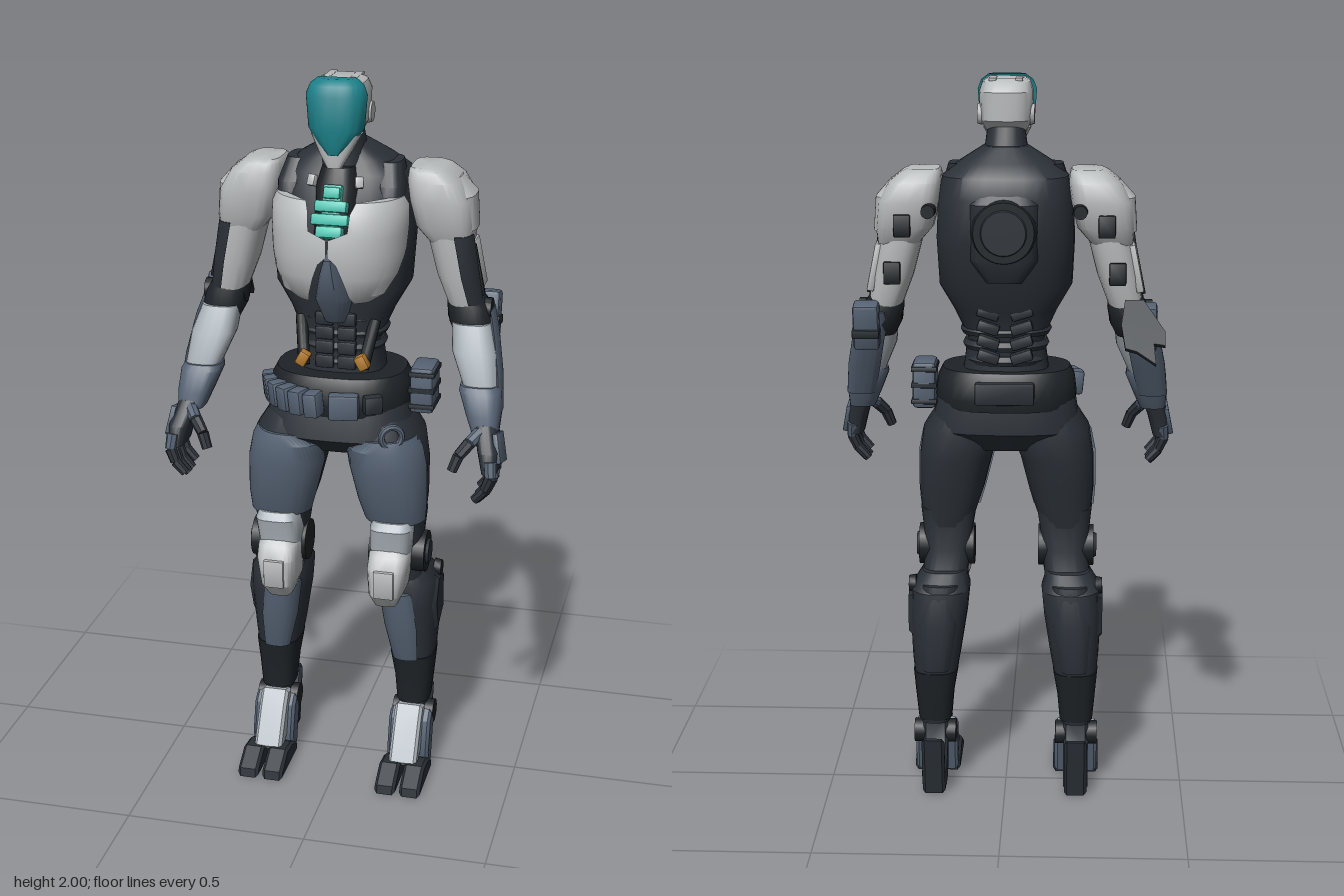
import * as THREE from 'three';
import { toCreasedNormals } from 'three/addons/utils/BufferGeometryUtils.js';
import { RoundedBoxGeometry } from 'three/addons/geometries/RoundedBoxGeometry.js';

const mat = (name, color) => Object.assign(new THREE.MeshStandardMaterial({ color }), { name });

// Solid through horizontal rings [y, cx, cz, rx, rz, a0, a1]; angle 0 faces +z and grows towards +x.
// Rings with a0 and a1 are arcs closed by a chord, which makes curved armour plates.
function loft(rings, power = 2.5, n = 24) {
  const arc = rings[0].length > 5, pos = [], idx = [];
  const e = 2 / power, pw = v => Math.sign(v) * Math.abs(v) ** e;
  rings.forEach(([y, cx, cz, rx, rz, a0 = 0, a1 = Math.PI * 2]) => {
    for (let i = 0; i < n; i++) {
      const a = a0 + (a1 - a0) * i / (arc ? n - 1 : n);
      pos.push(cx + rx * pw(Math.sin(a)), y, cz + rz * pw(Math.cos(a)));
    }
  });
  for (let r = 0; r < rings.length - 1; r++) for (let i = 0; i < n; i++) {
    const a = r * n + i, b = r * n + (i + 1) % n;
    idx.push(a, b, b + n, a, b + n, a + n);
  }
  [0, rings.length - 1].forEach((r, top) => {
    const c = pos.length / 3, m = [0, 0, 0];
    for (let i = 0; i < n; i++) for (let k = 0; k < 3; k++) m[k] += pos[(r * n + i) * 3 + k] / n;
    pos.push(...m);
    for (let i = 0; i < n; i++) {
      const a = r * n + i, b = r * n + (i + 1) % n;
      idx.push(...(top ? [c, a, b] : [c, b, a]));
    }
  });
  const g = new THREE.BufferGeometry();
  g.setAttribute('position', new THREE.Float32BufferAttribute(pos, 3));
  g.setIndex(idx);
  return g;
}

// Side outline of [z, y] points extruded from x0 to x1 with a small bevel
function profile(pts, x0, x1, bevel = 0.008) {
  const g = new THREE.ExtrudeGeometry(new THREE.Shape(pts.map(p => new THREE.Vector2(...p))),
    { depth: x1 - x0 - 2 * bevel, bevelSize: bevel, bevelThickness: bevel, bevelOffset: -bevel, bevelSegments: 1 });
  return g.rotateY(-Math.PI / 2).translate(x1 - bevel, 0, 0);
}

const box = (w, h, d, x, y, z, rx = 0, ry = 0, rz = 0) =>
  new RoundedBoxGeometry(w, h, d, 1, Math.min(w, h, d) * 0.18).rotateX(rx).rotateY(ry).rotateZ(rz).translate(x, y, z);

// Tapered rod from a to b
function rod(a, b, r1, r2 = r1, n = 12) {
  const A = new THREE.Vector3(...a), d = new THREE.Vector3(...b).sub(A), len = d.length();
  return new THREE.CylinderGeometry(r2, r1, len, n).translate(0, len / 2, 0)
    .applyQuaternion(new THREE.Quaternion().setFromUnitVectors(new THREE.Vector3(0, 1, 0), d.normalize()))
    .translate(...a);
}

function mirrored(g) {
  const m = g.clone();
  for (const key of ['position', 'normal']) {
    const s = g.attributes[key], t = m.attributes[key];
    for (let i = 0; i < s.count; i++) {
      const j = i % 3 === 1 ? i + 1 : i % 3 === 2 ? i - 1 : i;
      t.setXYZ(i, -s.getX(j), s.getY(j), s.getZ(j));
    }
  }
  return m;
}

export function createModel() {
  const root = new THREE.Group();
  const light = mat('light armour', 0xb9bcbd), steel = mat('pale steel', 0xa9b1b7), slate = mat('slate blue', 0x566374);
  const dark = mat('charcoal', 0x2b3138), black = mat('black', 0x1e2327), teal = mat('visor teal', 0x1c8089);
  const glow = mat('bright teal', 0x48c4b0), amber = mat('amber', 0xb47a2c);

  const add = (name, geo, m) => {
    const mesh = new THREE.Mesh(toCreasedNormals(geo, 0.6), m);
    mesh.name = name;
    root.add(mesh);
    return mesh;
  };
  const pair = (name, geo, m) => {
    const left = add(name + 'Left', geo, m);
    const right = new THREE.Mesh(mirrored(left.geometry), m);
    right.name = name + 'Right';
    root.add(right);
  };

  // Head
  add('helmet', loft([[1.845, 0, 0.07, 0.05, 0.07], [1.885, 0, 0.05, 0.07, 0.096],
    [1.96, 0, 0.05, 0.073, 0.098], [1.985, 0, 0.055, 0.064, 0.085], [1.995, 0, 0.06, 0.048, 0.065]], 3), light);
  add('jaw', loft([[1.775, 0, 0.125, 0.02, 0.018], [1.81, 0, 0.118, 0.04, 0.028], [1.86, 0, 0.1, 0.066, 0.045]], 3), light);
  add('visor', loft([[1.81, 0, 0.105, 0.022, 0.045, -1.1, 1.1], [1.835, 0, 0.095, 0.047, 0.06, -1.3, 1.3], [1.875, 0, 0.09, 0.074, 0.068, -1.45, 1.45],
    [1.96, 0, 0.09, 0.08, 0.07, -1.5, 1.5], [1.985, 0, 0.088, 0.07, 0.06, -1.5, 1.5], [2.0, 0, 0.085, 0.05, 0.04, -1.5, 1.5]], 2.6), teal);
  pair('earDisc', rod([0.064, 1.9, 0.02], [0.076, 1.9, 0.02], 0.03, 0.026, 16), light);
  pair('crownPlate', box(0.02, 0.008, 0.08, 0.035, 1.992, 0.025), light);
  add('neck', loft([[1.7, 0, 0.01, 0.085, 0.095], [1.78, 0, 0.015, 0.062, 0.075], [1.87, 0, 0.03, 0.05, 0.06]]), dark);

  // Torso
  add('torso', loft([[1.19, 0, 0.03, 0.12, 0.09], [1.3, 0, 0.03, 0.105, 0.085], [1.38, 0, 0.015, 0.14, 0.105],
    [1.45, 0, 0.01, 0.18, 0.13], [1.58, 0, -0.005, 0.186, 0.15], [1.69, 0, -0.02, 0.18, 0.14],
    [1.745, 0, -0.025, 0.168, 0.118], [1.78, 0, -0.015, 0.125, 0.09], [1.82, 0, 0, 0.06, 0.06]], 2.7, 32), dark);
  pair('collar', loft([[1.62, 0.13, 0.04, 0.042, 0.07], [1.72, 0.13, 0.025, 0.04, 0.068], [1.775, 0.118, 0.0, 0.035, 0.05]], 3), dark);
  pair('chestPlate', loft([[1.425, 0, 0.06, 0.12, 0.115, 0.45, 0.85], [1.45, 0, 0.05, 0.155, 0.15, 0.28, 1.0], [1.5, 0, 0.045, 0.172, 0.168, 0.17, 1.25],
    [1.54, 0, 0.042, 0.178, 0.176, 0.09, 1.4], [1.56, 0, 0.04, 0.18, 0.178, 0.005, 1.45], [1.605, 0, 0.04, 0.182, 0.176, 0.005, 1.5],
    [1.625, 0, 0.038, 0.183, 0.172, 0.22, 1.5], [1.67, 0, 0.035, 0.182, 0.162, 0.24, 1.5], [1.695, 0, 0.03, 0.172, 0.145, 0.32, 1.4]], 2.4, 18), light);
  add('sternum', loft([[1.36, 0, 0.1, 0.03, 0.04], [1.43, 0, 0.1, 0.05, 0.09], [1.5, 0, 0.1, 0.034, 0.115], [1.55, 0, 0.1, 0.018, 0.115]], 3), slate);
  add('throatPlate', loft([[1.59, 0, 0.06, 0.06, 0.12], [1.72, 0, 0.05, 0.06, 0.09], [1.77, 0, 0.05, 0.045, 0.065]], 3), black);
  [[0.07, 1.618, 0.184], [0.098, 1.648, 0.174], [0.085, 1.68, 0.161], [0.045, 1.712, 0.148]].forEach(([w, y, z], i) =>
    add('chestLight' + i, box(w, 0.03, 0.035, 0, y, z, -0.35), glow));
  add('throatLight', box(0.05, 0.14, 0.03, 0, 1.665, 0.16, -0.38), glow);
  pair('throatClip', box(0.022, 0.03, 0.02, 0.062, 1.735, 0.115, -0.4, 0.3), light);

  // Abdomen segments and amber fittings
  for (let i = 0; i < 4; i++) {
    const y = 1.23 + i * 0.04, r = 0.104 + i * 0.007;
    add('waistBand' + i, loft([[y, 0, 0.025, r, 0.09], [y + 0.012, 0, 0.025, r + 0.007, 0.096], [y + 0.026, 0, 0.025, r, 0.09]]), dark);
    pair('abdomenPlate' + i, box(0.05, 0.037, 0.03, 0.03, y + 0.015, 0.112), dark);
    pair('spineRib' + i, box(0.06, 0.03, 0.03, 0.045, y + 0.03, -0.075, 0, 0, 0.3), dark);
  }
  pair('hipStrut', rod([0.1, 1.36, 0.09], [0.08, 1.24, 0.145], 0.016), black);
  pair('amberFitting', box(0.03, 0.04, 0.03, 0.08, 1.262, 0.155, 0, 0, 0.5), amber);

  // Back pack
  add('backPlate', loft([[1.47, 0, -0.1, 0.05, 0.04], [1.53, 0, -0.11, 0.09, 0.06], [1.68, 0, -0.115, 0.095, 0.058], [1.73, 0, -0.1, 0.07, 0.035]], 3.5), dark);
  add('backDisc', rod([0, 1.61, -0.15], [0, 1.61, -0.182], 0.088, 0.08, 28), black);
  add('backDiscCap', rod([0, 1.61, -0.18], [0, 1.61, -0.187], 0.062, 0.058, 28), dark);

  // Belt and hips
  add('hips', loft([[0.99, 0, 0.04, 0.11, 0.09], [1.045, 0, 0.05, 0.205, 0.145], [1.14, 0, 0.04, 0.19, 0.137], [1.2, 0, 0.035, 0.165, 0.12]], 2.8, 32), dark);
  add('belt', loft([[1.11, 0, 0.04, 0.188, 0.145], [1.14, 0, 0.04, 0.194, 0.15], [1.19, 0, 0.04, 0.188, 0.145], [1.215, 0, 0.04, 0.175, 0.13]], 2.5, 32), black);
  for (let i = 0; i < 6; i++) {
    const a = -1.35 + i * 0.23;
    add('beltPouch' + i, box(0.042, 0.068, 0.05, 0.19 * Math.sin(a), 1.158, 0.045 + 0.175 * Math.cos(a), 0, a, 0.1), slate);
  }
  add('buckle', box(0.08, 0.07, 0.035, 0.04, 1.15, 0.2, 0, 0.15), slate);
  add('beltClip', box(0.05, 0.05, 0.03, 0.115, 1.155, 0.18, 0, 0.5), dark);
  add('beltBackBox', box(0.16, 0.06, 0.03, 0, 1.165, -0.11), dark);
  add('sidePouch', box(0.065, 0.13, 0.1, 0.224, 1.165, 0.03), slate);
  for (let i = 0; i < 3; i++) add('pouchRib' + i, box(0.071, 0.014, 0.105, 0.224, 1.12 + i * 0.045, 0.03), dark);
  add('hipRing', new THREE.TorusGeometry(0.028, 0.009, 8, 20).rotateY(0.5).translate(0.165, 1.065, 0.175), slate);

  // Thighs
  const thigh = [[0.76, 0.165, 0.055, 0.068, 0.075], [0.86, 0.153, 0.065, 0.09, 0.108], [0.96, 0.14, 0.06, 0.102, 0.128],
    [1.04, 0.118, 0.055, 0.112, 0.13], [1.1, 0.1, 0.05, 0.092, 0.115]];
  pair('thigh', loft(thigh), dark);
  pair('thighFront', loft([[0.8, 0.16, 0.06, 0.087, 0.1, -1.3, 1.3], ...thigh.slice(1, 3).map(([y, x, z, rx, rz]) => [y, x, z, rx + 0.008, rz + 0.008, -1.3, 1.35]),
    [1.02, 0.128, 0.058, 0.11, 0.142, -1, 1.35], [1.05, 0.122, 0.055, 0.1, 0.135, -0.6, 1.3]]), slate);

  // Knees
  pair('knee', loft([[0.58, 0.175, 0.02, 0.065, 0.07], [0.69, 0.165, 0.05, 0.062, 0.06], [0.81, 0.162, 0.06, 0.078, 0.085]], 3), dark);
  pair('kneeJoint', rod([0.09, 0.69, 0.06], [0.245, 0.69, 0.06], 0.058, 0.058, 20), black);
  pair('kneeCap', rod([0.24, 0.69, 0.06], [0.253, 0.69, 0.06], 0.038, 0.032, 16), dark);
  pair('kneePadUpper', loft([[0.68, 0.155, 0.1, 0.053, 0.07], [0.74, 0.157, 0.1, 0.058, 0.076], [0.79, 0.16, 0.1, 0.06, 0.086], [0.81, 0.16, 0.1, 0.052, 0.07]], 4), steel);
  pair('kneePadLower', loft([[0.565, 0.15, 0.13, 0.032, 0.05], [0.605, 0.152, 0.13, 0.048, 0.08], [0.68, 0.155, 0.13, 0.056, 0.082], [0.715, 0.156, 0.12, 0.055, 0.07], [0.73, 0.156, 0.12, 0.045, 0.055]], 4), light);
  pair('kneePadFace', box(0.055, 0.08, 0.012, 0.154, 0.645, 0.212, 0.02), light);

  // Lower legs
  const shin = [[0.19, 0.2, -0.01, 0.042, 0.052], [0.28, 0.2, -0.015, 0.052, 0.065], [0.4, 0.194, -0.015, 0.068, 0.085],
    [0.52, 0.187, -0.008, 0.08, 0.108], [0.59, 0.182, -0.003, 0.082, 0.103], [0.635, 0.175, 0.015, 0.06, 0.07]];
  pair('lowerLeg', loft(shin, 2.8), dark);
  pair('shinPlate', loft([[0.35, 0.19, 0, 0.05, 0.08, -0.8, 0.6], [0.46, 0.18, 0.01, 0.06, 0.1, -1.1, 0.7], [0.57, 0.165, 0.02, 0.06, 0.1, -1.1, 0.7]], 2.6), slate);
  pair('calfPlate', loft([[0.36, 0.194, -0.03, 0.045, 0.074, 2.3, 4], [0.5, 0.187, -0.03, 0.062, 0.094, 2.2, 4.1], [0.61, 0.18, -0.01, 0.058, 0.09, 2.3, 4]], 3), dark);
  pair('calfSide', profile([[-0.07, 0.46], [0.02, 0.42], [0.06, 0.52], [0.02, 0.6], [-0.07, 0.58]], 0.235, 0.271, 0.014), dark);
  pair('calfBolt', rod([0.25, 0.6, -0.03], [0.27, 0.6, -0.03], 0.026, 0.022, 14), black);
  pair('shinCuff', loft([[0.2, 0.2, -0.01, 0.047, 0.056], [0.28, 0.2, -0.015, 0.054, 0.067], [0.35, 0.197, -0.015, 0.063, 0.079]], 3), black);

  // Ankles and split feet
  pair('instepPlate', profile([[0.02, 0.19], [0.06, 0.2], [0.09, 0.16], [0.15, 0.06], [0.13, 0.04], [0.08, 0.06], [0.03, 0.14]], 0.158, 0.238), steel);
  pair('ankleJoint', rod([0.142, 0.15, -0.01], [0.26, 0.15, -0.01], 0.034, 0.034, 18), black);
  pair('ankleStrut', profile([[0.0, 0.13], [0.03, 0.175], [0.06, 0.15], [0.085, 0.06], [0.07, 0.012], [0.03, 0.012]], 0.14, 0.26), slate);
  [[0.135, 0.194], [0.206, 0.265]].forEach(([a, b], i) =>
    pair('toe' + i, profile([[0.05, 0], [0.23, 0], [0.225, 0.025], [0.16, 0.062], [0.1, 0.055], [0.05, 0.03]], a, b), dark));
  pair('heelLink', profile([[-0.04, 0.2], [0.02, 0.2], [0.01, 0.12], [-0.03, 0.02], [-0.1, 0.01], [-0.1, 0.06], [-0.05, 0.12]], 0.165, 0.235), dark);
  pair('heel', profile([[-0.03, 0], [-0.115, 0], [-0.13, 0.07], [-0.15, 0.175], [-0.135, 0.175], [-0.1, 0.075], [-0.04, 0.06]], 0.168, 0.232), dark);

  // Shoulders and upper arms
  pair('shoulderPad', loft([[1.565, 0.285, -0.02, 0.056, 0.07], [1.61, 0.268, -0.025, 0.077, 0.094], [1.68, 0.256, -0.026, 0.082, 0.102],
    [1.73, 0.238, -0.025, 0.07, 0.096], [1.755, 0.224, -0.022, 0.053, 0.08], [1.763, 0.218, -0.02, 0.042, 0.065]], 3.6), light);
  pair('shoulderRidge', loft([[1.6, 0.295, -0.025, 0.056, 0.07, 0.5, 2.6], [1.69, 0.285, -0.025, 0.06, 0.072, 0.5, 2.6], [1.735, 0.255, -0.025, 0.05, 0.05, 0.5, 2.6]], 3), light);
  pair('upperArm', loft([[1.39, 0.325, -0.02, 0.045, 0.055], [1.48, 0.302, -0.02, 0.056, 0.075], [1.6, 0.275, -0.02, 0.06, 0.078]]), light);
  pair('upperArmFront', loft([[1.4, 0.332, -0.015, 0.043, 0.054, 0.1, 1.3], [1.48, 0.314, -0.015, 0.05, 0.076, 0.1, 1.3], [1.59, 0.292, -0.015, 0.055, 0.078, 0.1, 1.3]]), dark);
  pair('upperArmSide', box(0.02, 0.13, 0.075, 0.349, 1.5, -0.035, 0, 0, 0.2), light);
  pair('upperArmSlot', box(0.01, 0.14, 0.012, 0.359, 1.49, 0.0, 0, 0, 0.2), black);
  pair('shoulderPort', rod([0.2, 1.66, -0.1], [0.2, 1.66, -0.15], 0.02, 0.018, 14), black);
  [[0.27, 1.62, -0.12], [0.3, 1.49, -0.095]].forEach(([x, y, z], i) => pair('armBackPort' + i, box(0.045, 0.06, 0.02, x, y, z), black));
  pair('elbow', loft([[1.31, 0.35, -0.005, 0.05, 0.05], [1.345, 0.342, -0.015, 0.06, 0.06], [1.39, 0.332, -0.02, 0.058, 0.058], [1.42, 0.322, -0.02, 0.045, 0.05]]), black);
  pair('elbowBolt', rod([0.28, 1.38, -0.015], [0.395, 1.38, -0.015], 0.03, 0.03, 16), black);

  // Forearms
  pair('forearm', loft([[1.14, 0.395, 0.08, 0.035, 0.04], [1.2, 0.382, 0.06, 0.048, 0.048], [1.28, 0.36, 0.033, 0.06, 0.054], [1.35, 0.345, 0.0, 0.052, 0.052]], 3), steel);
  pair('forearmGuard', loft([[1.13, 0.402, 0.075, 0.042, 0.05, 0.9, 4.2], [1.22, 0.385, 0.04, 0.05, 0.06, 1, 4], [1.32, 0.362, 0.0, 0.053, 0.068, 1.1, 3.8], [1.38, 0.352, -0.03, 0.045, 0.06, 1.1, 3.7]], 3), slate);
  pair('elbowGuard', box(0.07, 0.13, 0.06, 0.372, 1.345, -0.078, -0.2), slate);
  pair('guardBand', box(0.074, 0.025, 0.066, 0.373, 1.33, -0.078, -0.2), dark);
  pair('cuff', loft([[1.085, 0.405, 0.108, 0.036, 0.048], [1.13, 0.397, 0.092, 0.047, 0.056], [1.185, 0.384, 0.072, 0.056, 0.056], [1.2, 0.38, 0.066, 0.05, 0.05]], 3), slate);

  // Hands
  pair('palm', loft([[0.995, 0.43, 0.155, 0.022, 0.06], [1.05, 0.424, 0.145, 0.03, 0.058], [1.11, 0.405, 0.11, 0.03, 0.042]], 3), dark);
  pair('handPlate', box(0.014, 0.08, 0.085, 0.449, 1.05, 0.14, -0.25, 0, 0.2), slate);
  const finger = (name, pts, r) => pts.slice(1).forEach((p, i) => pair(name + i, rod(pts[i], p, r - i * 0.0015, r - i * 0.0015 - 0.002, 8), i ? dark : slate));
  for (let i = 0; i < 4; i++) {
    const z = 0.102 + i * 0.033, lift = Math.abs(i - 1.5) * 0.012;
    finger('finger' + i + 'Joint', [[0.434, 1.03, z], [0.438, 0.972 + lift, z + 0.012], [0.424, 0.938 + lift, z + 0.016], [0.397, 0.908 + lift, z + 0.016]], 0.0175);
  }
  finger('thumbJoint', [[0.41, 1.1, 0.13], [0.375, 1.07, 0.18], [0.35, 1.04, 0.2], [0.335, 1.0, 0.21]], 0.019);

  // Torn fin behind the right elbow
  const fin = new THREE.Shape([[-0.32, 0], [-0.37, 0], [-0.425, 0.1], [-0.425, 0.145], [-0.395, 0.14], [-0.4, 0.205], [-0.35, 0.165], [-0.32, 0.155], [-0.31, 0.08]].map(p => new THREE.Vector2(...p)));
  add('elbowFin', new THREE.ExtrudeGeometry(fin, { depth: 0.012, bevelEnabled: false }).rotateX(-2.33).translate(0, 1.415, -0.1), dark);
  return root;
}
